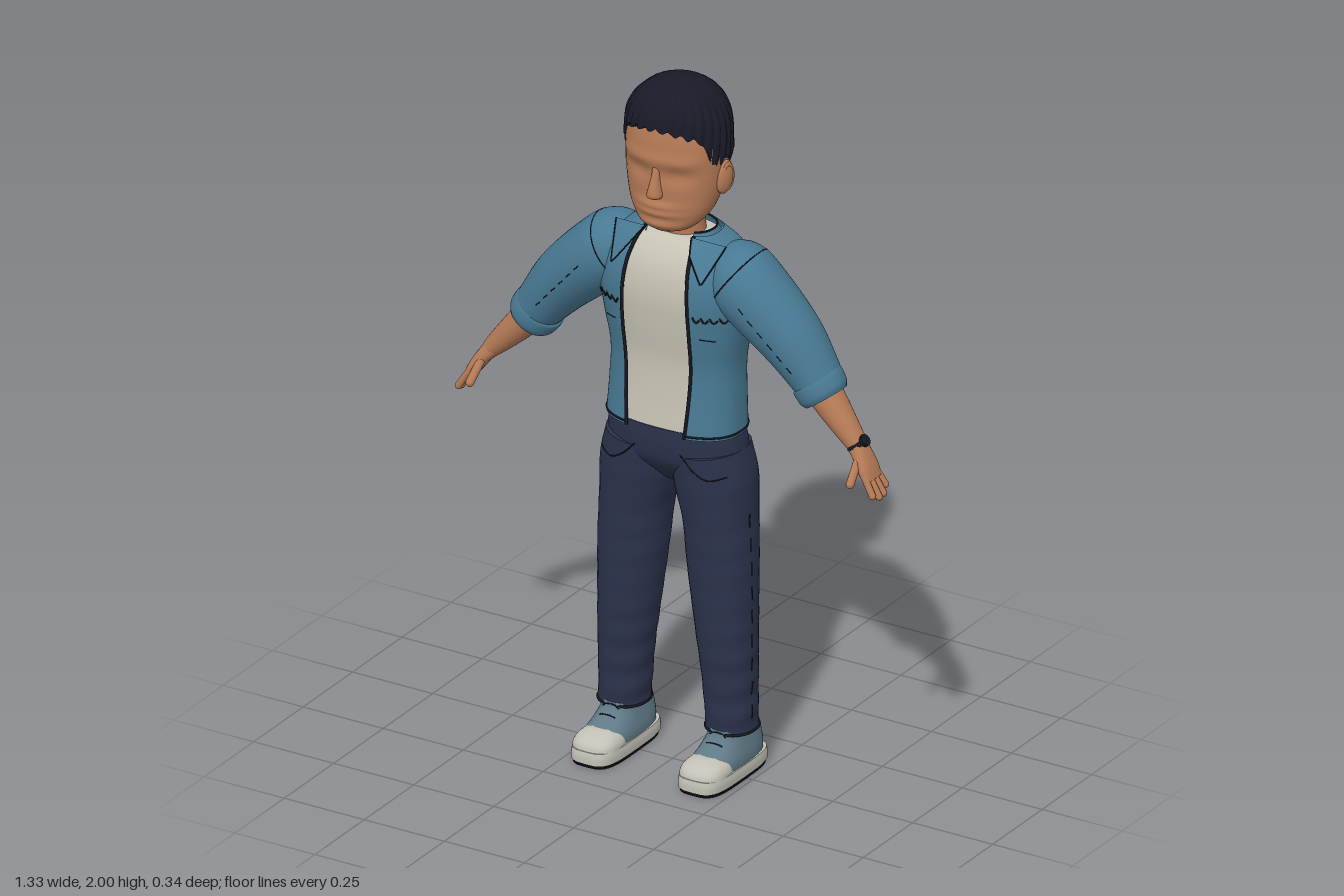
import * as THREE from 'three';

const V = (x, y, z) => new THREE.Vector3(x, y, z);
const mat = (name, color) => { const m = new THREE.MeshStandardMaterial({ color }); m.name = name; return m; };

// Quad grid: u runs around, rows run along; wrap closes it in u
function grid(fn, nu, rows, wrap = true) {
  const pos = [], idx = [], n = wrap ? nu : nu + 1;
  for (let j = 0; j < rows; j++) for (let i = 0; i < n; i++) pos.push(...fn(i / nu, j).toArray());
  for (let j = 0; j < rows - 1; j++) for (let i = 0; i < nu; i++) {
    const a = j * n + i, b = j * n + (i + 1) % n;
    idx.push(a, a + n, b, b, a + n, b + n);
  }
  const g = new THREE.BufferGeometry();
  g.setAttribute('position', new THREE.Float32BufferAttribute(pos, 3));
  g.setIndex(idx);
  g.computeVertexNormals();
  return g;
}

// Smooth section sampler; rings are [x, y, z, radius across, radius in z]
function sampler(rings, n = 2) {
  const c = new THREE.CatmullRomCurve3(rings.map(r => V(r[0], r[1], r[2])), false, 'catmullrom');
  const s = new THREE.CatmullRomCurve3(rings.map(r => V(r[3], r[4], 0)), false, 'catmullrom');
  const pw = a => Math.sign(a) * Math.abs(a) ** (2 / n);
  const at = (t, ang) => {
    const p = c.getPoint(t), d = c.getTangent(t), r = s.getPoint(t), l = Math.hypot(d.x, d.y) || 1;
    const u = pw(Math.cos(ang)) * r.x;
    return V(p.x + d.y / l * u, p.y - d.x / l * u, p.z + pw(Math.sin(ang)) * r.y);
  };
  return { at, centre: t => c.getPoint(t), width: t => s.getPoint(t).x };
}

// Capped loft; the rim rows are doubled so the caps stay crisp
function loft(rings, { n = 2, seg = 32, rows = 24, warp = p => p } = {}) {
  const s = sampler(rings, n);
  return grid((u, j) => {
    if (j === 0) return s.centre(0);
    if (j === rows + 4) return s.centre(1);
    const t = THREE.MathUtils.clamp((j - 2) / rows, 0, 1);
    return warp(s.at(t, u * Math.PI * 2), t);
  }, seg, rows + 5);
}

// Loft left open at the front by a gap that depends on t
function openLoft(rings, gap, n, rows = 30, seg = 56) {
  const s = sampler(rings, n);
  const at = (u, t) => {
    const d = Math.asin(Math.min(0.97, (gap(t) / s.width(t)) ** (n / 2)));
    return s.at(t, Math.PI / 2 + d + u * (Math.PI * 2 - 2 * d));
  };
  return { geo: grid((u, j) => at(u, j / rows), seg, rows + 1, false), at };
}

const tube = (pts, r, n = 40) => new THREE.TubeGeometry(new THREE.CatmullRomCurve3(pts), n, r, 5);

export function createModel() {
  const root = new THREE.Group();
  root.name = 'standingMan';
  const skin = mat('skin', 0xb57a56), hair = mat('hair', 0x191a27), denim = mat('jacketDenim', 0x487993);
  const cream = mat('shirtCream', 0xc6c2b4), navy = mat('trouserNavy', 0x2b324b), dark = mat('darkTrim', 0x161820);
  const canvas = mat('shoeCanvas', 0x5f7986), rubber = mat('shoeRubber', 0xc3c1b6);
  for (const m of [denim, dark, hair]) m.side = THREE.DoubleSide;
  const add = (name, geo, m) => {
    const mesh = new THREE.Mesh(geo, m);
    mesh.name = name;
    root.add(mesh);
    return mesh;
  };
  // Stitch line dropped onto the surface of the given meshes along direction d
  const ray = new THREE.Raycaster();
  const seam = (name, meshes, pts, d, r = 0.002) => {
    const hits = new THREE.CatmullRomCurve3(pts).getPoints(16).map(p => {
      ray.set(p.clone().addScaledVector(d, -2), d);
      return ray.intersectObjects(meshes)[0]?.point;
    }).filter(Boolean);
    if (hits.length > 1) add(name, tube(hits, r), dark);
  };
  const IN = V(0, 0, -1), OUT = V(0, 0, 1);

  // Head with softly modelled brow, sockets and lips
  const bump = (v, c, w) => Math.exp(-(((v - c) / w) ** 2));
  add('head', loft([
    [0, 1.583, .035, .03, .025], [0, 1.60, .022, .077, .055], [0, 1.64, .0, .113, .085], [0, 1.70, -.015, .134, .10],
    [0, 1.78, -.025, .143, .113], [0, 1.86, -.03, .14, .116], [0, 1.93, -.035, .11, .1], [0, 1.97, -.035, .05, .05],
  ], { n: 2.15, seg: 48, rows: 64, warp: p => {
    const f = THREE.MathUtils.smoothstep(p.z, .02, .07);
    const eyes = bump(Math.abs(p.x), .06, .045);
    p.z += f * (.007 * bump(p.y, 1.80, .02) - .01 * eyes * bump(p.y, 1.76, .024)
      + bump(p.x, 0, .06) * (.009 * bump(p.y, 1.667, .01) + .009 * bump(p.y, 1.645, .01) + .008 * bump(p.y, 1.61, .012)));
    return p;
  } }), skin);
  add('nose', loft([[0, 1.69, .085, .013, .012], [0, 1.70, .09, .022, .024], [0, 1.725, .088, .017, .022],
    [0, 1.755, .084, .012, .015], [0, 1.785, .077, .012, .012]], { seg: 16, rows: 14 }), skin);
  add('neck', loft([[0, 1.5, -.05, .08, .065], [0, 1.56, -.05, .066, .058], [0, 1.66, -.045, .066, .06]]), skin);
  for (const s of [1, -1]) {
    const ear = new THREE.SphereGeometry(1, 18, 14);
    ear.scale(.017, .048, .029).rotateX(-.15).rotateY(s * -.25).translate(s * .144, 1.742, -.03);
    add('ear', ear, skin);
    const lobe = new THREE.TorusGeometry(.023, .005, 6, 18);
    lobe.scale(.8, 1.5, 1).rotateY(Math.PI / 2 - s * .25).translate(s * .153, 1.745, -.032);
    add('earRim', lobe, skin);
  }

  // Hair cap: hairline height by facing (-1 back to 1 front), ridged into strands
  const line = [[-1, 1.665], [-.7, 1.68], [-.35, 1.74], [-.1, 1.80], [.1, 1.80], [.22, 1.775], [.4, 1.80], [.6, 1.865], [1, 1.895]];
  const hairline = f => {
    const k = Math.max(1, line.findIndex(e => f <= e[0] + 1e-6));
    const [a, b] = [line[k - 1], line[k]];
    return THREE.MathUtils.mapLinear(f, a[0], b[0], a[1], b[1]);
  };
  const HR = 30;
  add('hair', grid((u, j) => {
    const a = u * Math.PI * 2, f = Math.sin(a);
    const yb = hairline(f) + .006 * Math.sin(a * 26), v = Math.max(0, j - 2) / HR;
    const y = yb + (2.0 - yb) * Math.sin(v * Math.PI / 2);
    const p = 2.7 + 1.2 * Math.abs(f);
    const up = Math.max(0, (y - 1.83) / .17);
    let r = Math.max(0, 1 - up ** p) ** .5 * (1 - Math.max(0, 1.8 - y) * 1.9);
    r *= 1 + .05 * Math.abs(Math.sin(a * 15 + y * 14)) * (1 - v * v) - .02;
    if (j === 0) r *= .75;
    return V(Math.cos(a) * .147 * r, y, -.033 + f * (f > 0 ? .134 : .132) * r);
  }, 180, HR + 3), hair);

  // Shirt under an open jacket
  const torso = [[0, 1.0, -.025, .2, .12], [0, 1.1, -.03, .195, .115], [0, 1.2, -.033, .193, .115], [0, 1.3, -.032, .21, .126],
    [0, 1.4, -.032, .225, .132], [0, 1.48, -.035, .215, .12], [0, 1.535, -.042, .18, .092], [0, 1.565, -.05, .115, .075]];
  add('shirt', loft(torso.map(([x, y, z, a, b]) => [x, Math.min(y + .004, 1.555), z, a - .014, b - .012]), { n: 2.5, seg: 48, rows: 30 }), cream);
  const gap = t => .09 + .02 * Math.sin(t * Math.PI) - .015 * t;
  const coat = openLoft(torso, gap, 2.5);
  const jacket = add('jacket', coat.geo, denim);
  for (const u of [0, 1])
    add('jacketEdge', tube(Array.from({ length: 16 }, (_, i) => coat.at(u, i / 15)), .005, 50), dark);
  add('jacketHem', tube(Array.from({ length: 33 }, (_, i) => coat.at(i / 32, .012)), .003, 80), dark);
  const collar = openLoft([[0, 1.535, -.045, .125, .085], [0, 1.555, -.047, .112, .078], [0, 1.572, -.048, .1, .07]], () => .07, 2.2, 6, 40);
  add('collarBand', collar.geo, denim);
  add('collarEdge', tube(Array.from({ length: 25 }, (_, i) => collar.at(i / 24, 1)), .003, 60), dark);
  seam('backYokeSeam', [jacket], [V(-.2, 1.45, 0), V(0, 1.425, 0), V(.2, 1.45, 0)], OUT);

  // Trousers: hips
  const hips = add('hips', loft([[0, .83, -.035, .03, .045], [0, .865, -.035, .09, .08], [0, .91, -.033, .2, .108],
    [0, .96, -.03, .203, .114], [0, 1.012, -.027, .194, .112]], { n: 2.3 }), navy);

  for (const s of [1, -1]) {
    // Collar flap and chest seams
    const flap = [[.072, 1.565, .022], [.172, 1.556, .006], [.14, 1.465, .086], [.092, 1.53, .064]].map(p => V(p[0] * s, p[1], p[2]));
    const fg = new THREE.BufferGeometry().setFromPoints(flap);
    fg.setIndex(s > 0 ? [0, 3, 1, 1, 3, 2] : [0, 1, 3, 1, 2, 3]);
    fg.computeVertexNormals();
    add('collarFlap', fg, denim);
    add('collarFlapEdge', new THREE.TubeGeometry(new THREE.CatmullRomCurve3([flap[1], flap[2], flap[3], flap[0]], false, 'catmullrom', .05), 40, .002, 5), dark);
    for (let x = .115; x < .2; x += .022)
      seam('chestPocketSeam', [jacket], [V(s * x, 1.368, 0), V(s * (x + .01), 1.352, 0), V(s * (x + .02), 1.362, 0)], IN, .003);
    seam('chestPocketStitch', [jacket], [V(s * .13, 1.30, 0), V(s * .17, 1.295, 0)], IN, .0015);

    // Leg with gentle cloth ripples
    const leg = add('trouserLeg', loft([[.168, .13, -.03, .069, .07], [.165, .2, -.03, .071, .07], [.161, .3, -.029, .076, .074],
      [.154, .4, -.028, .083, .079], [.14, .6, -.03, .096, .09], [.13, .74, -.034, .1, .101], [.115, .85, -.035, .112, .109],
      [.103, .94, -.032, .102, .11]].map(r => [s * r[0], ...r.slice(1)]), { n: 2.2, rows: 60, warp: (p, t) => {
      const w = .003 * Math.sin(p.y * 75 + p.z * 18) * (1 - t);
      p.x += w * .7; p.z += w * .6;
      return p;
    } }), navy);
    const ankle = sampler([[s * .168, .13, -.03, .069, .07], [s * .168, .15, -.03, .069, .07]], 2.3);
    add('trouserHem', tube(Array.from({ length: 25 }, (_, i) => ankle.at(.3, i / 24 * Math.PI * 2)), .004, 50), dark);
    seam('frontPocketSeam', [hips, leg], [V(s * .07, .945, 0), V(s * .11, .905, 0), V(s * .15, .885, 0), V(s * .195, .895, 0)], IN);
    for (let y = .17; y < .8; y += .07)
      seam('legStitch', [leg], [V(0, y, -.02), V(0, y + .04, -.02)], V(-s, 0, 0));

    // Shoe: tread, rubber sole, canvas upper, toe cap and laces
    const X = s * .167;
    add('shoeTread', loft([[X, 0, .016, .066, .152], [X, .012, .016, .068, .156]], { n: 3.8, rows: 2 }), dark);
    add('shoeSole', loft([[X, .012, .016, .069, .158], [X, .03, .016, .07, .158], [X, .046, .016, .068, .155]], { n: 3.8, rows: 6 }), rubber);
    const upper = add('shoeUpper', loft([[X, .04, .01, .065, .148], [X, .065, .0, .064, .138], [X, .09, -.022, .058, .112],
      [X, .115, -.037, .052, .092], [X, .14, -.04, .048, .08]], { n: 2.7, rows: 16 }), canvas);
    add('toeCap', loft([[X, .042, .1, .066, .07], [X, .06, .098, .063, .066], [X, .076, .092, .051, .055],
      [X, .086, .085, .025, .03]], { n: 2.7, rows: 12 }), rubber);
    for (let k = 0; k < 3; k++)
      seam('shoeLace', [upper], [V(X - .025, 0, .06 - k * .018), V(X + .025, 0, .06 - k * .018)], V(0, -1, 0));

    // Sleeve, rolled cuff and forearm
    const M = rings => rings.map(r => [s * r[0], ...r.slice(1)]);
    const sleeve = add('sleeve', loft(M([[.12, 1.495, -.04, .055, .065], [.18, 1.465, -.033, .1, .1], [.25, 1.412, -.03, .1, .103],
      [.35, 1.32, -.033, .089, .09], [.42, 1.235, -.033, .073, .075], [.45, 1.19, -.032, .064, .066]]), { rows: 36 }), denim);
    add('sleeveCuff', loft(M([[.426, 1.222, -.032, .066, .064], [.433, 1.213, -.032, .074, .072], [.452, 1.186, -.031, .072, .07],
      [.462, 1.172, -.031, .063, .061]]), { rows: 12 }), denim);
    const armhole = sampler(M([[.19, 1.458, -.032, .102, .102], [.2, 1.451, -.032, .102, .102]]));
    add('armholeSeam', tube(Array.from({ length: 25 }, (_, i) => armhole.at(0, i / 24 * Math.PI * 2)), .002, 60), dark);
    for (let k = 0; k < 6; k++) {
      const x = .25 + k * .027, y = 1.42 - k * .03;
      seam('sleeveStitch', [sleeve], [V(s * x, y, 0), V(s * (x + .014), y - .015, 0)], IN, .0015);
    }
    add('forearm', loft(M([[.44, 1.205, -.03, .05, .052], [.49, 1.15, -.025, .043, .046], [.54, 1.097, -.018, .034, .036],
      [.575, 1.06, -.014, .026, .03]])), skin);

    // Hand: flat palm, four fingers and a thumb
    add('palm', loft(M([[.565, 1.07, -.014, .025, .029], [.59, 1.04, -.008, .021, .035], [.61, 1.01, -.003, .018, .041],
      [.626, .983, 0, .013, .038]]), { n: 2.4, seg: 20, rows: 14 }), skin);
    const finger = (name, a, b, r) => {
      const dir = V().subVectors(b, a), g = new THREE.CapsuleGeometry(r, dir.length(), 5, 10);
      g.applyQuaternion(new THREE.Quaternion().setFromUnitVectors(V(0, 1, 0), dir.clone().normalize()));
      add(name, g.translate((a.x + b.x) / 2, (a.y + b.y) / 2, (a.z + b.z) / 2), skin);
    };
    [.958, .944, .942, .952].forEach((y, k) => {
      const z = -.03 + k * .02;
      finger('finger', V(s * .62, .995, z), V(s * (.62 + (.995 - y) * .62), y, z * 1.2), .01);
    });
    finger('thumb', V(s * .588, 1.035, .015), V(s * .594, .985, .064), .012);
  }

  // Watch on the left wrist
  add('watchStrap', loft([[.565, 1.07, -.015, .029, .033], [.575, 1.058, -.014, .028, .032]], { rows: 3 }), dark);
  const dial = new THREE.CylinderGeometry(.017, .017, .01, 20);
  add('watchDial', dial.rotateZ(-.85).translate(.591, 1.083, -.014), dark);

  return root;
}
